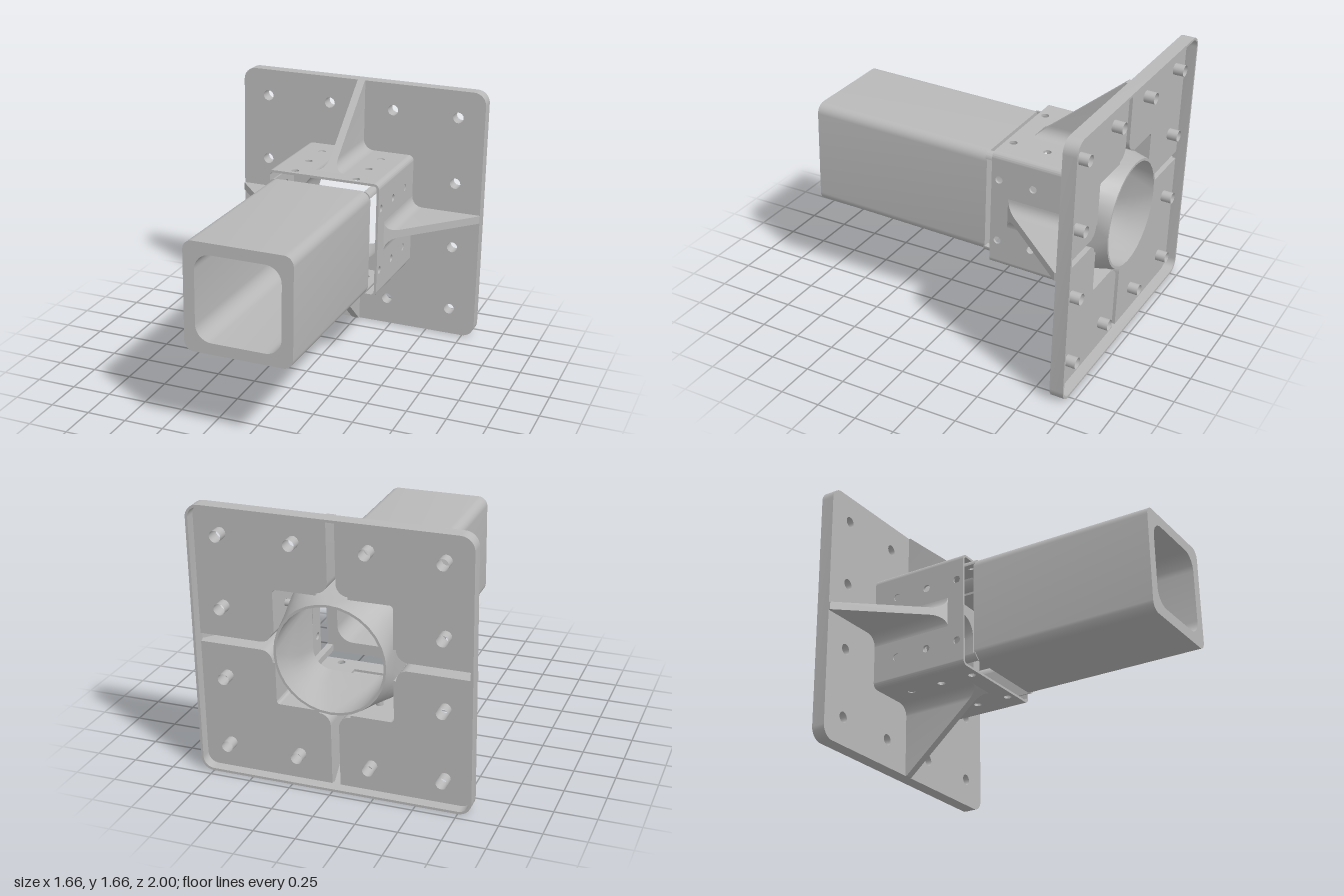
import * as THREE from 'three';
import { toCreasedNormals } from 'three/addons/utils/BufferGeometryUtils.js';

const TAU4 = Math.PI / 2;
const V2 = (x, y) => new THREE.Vector2(x, y);

// Rounded square outline, counter-clockwise
function roundedSquare(half, radius, steps = 8) {
  const points = [];
  for (let c = 0; c < 4; c++) {
    const start = c * TAU4;
    const mid = start + TAU4 / 2;
    const off = (half - radius) * Math.SQRT2;
    for (let i = 0; i <= steps; i++) {
      const a = start + (i / steps) * TAU4;
      points.push(V2(
        Math.cos(mid) * off + Math.cos(a) * radius,
        Math.sin(mid) * off + Math.sin(a) * radius));
    }
  }
  return points;
}

// Quads, each as four corner triples, to creased geometry
function fromQuads(quads) {
  const pos = [];
  for (const [a, b, c, d] of quads) pos.push(...a, ...b, ...c, ...a, ...c, ...d);
  const g = new THREE.BufferGeometry();
  g.setAttribute('position', new THREE.Float32BufferAttribute(pos, 3));
  g.computeVertexNormals();
  return toCreasedNormals(g, 0.6);
}

// Closed loft through rounded square sections [z, half, radius]
function loft(sections) {
  const rings = sections.map(([z, h, r]) => roundedSquare(h, r).map(p => [p.x, p.y, z]));
  const quads = [];
  rings.forEach((ring, k) => {
    const next = rings[(k + 1) % rings.length];
    ring.forEach((p, i) => {
      const j = (i + 1) % ring.length;
      quads.push([p, next[i], next[j], ring[j]]);
    });
  });
  return fromQuads(quads);
}

function circleHole(x, y, r) {
  return new THREE.Path().absarc(x, y, r, 0, Math.PI * 2, true);
}

function extrude(shape, depth, z = 0) {
  const g = new THREE.ExtrudeGeometry(shape, { depth, bevelEnabled: false, curveSegments: 8 });
  return toCreasedNormals(g.translate(0, 0, z), 0.6);
}

export function createModel() {
  const steel = new THREE.MeshStandardMaterial({ color: 0xb8b8b8, side: THREE.DoubleSide });
  steel.name = 'grey steel';

  const model = new THREE.Group();
  model.name = 'tubeMount';
  const add = (parent, name, geometry) => {
    const mesh = new THREE.Mesh(geometry, steel);
    mesh.name = name;
    parent.add(mesh);
    return mesh;
  };

  // Half outline of a rib, from the plate edge to the flared root
  const ribLine = [V2(0.025, 0.83)];
  for (let i = 0; i <= 8; i++) {
    const a = Math.PI + (i / 8) * TAU4;
    ribLine.push(V2(0.095 + 0.07 * Math.cos(a), 0.44 + 0.07 * Math.sin(a)));
  }
  const ribTop = y => 0.095 + (0.83 - y) * 1.155;

  // Back plate: thin front sheet with a cross-shaped opening
  const half = [V2(0.355, 0.355), V2(0.095, 0.355), ...ribLine.slice(1).reverse(), V2(0.025, 0.815)];
  const mirrored = half.slice(1).reverse().map(p => V2(-p.x, p.y));
  const opening = [];
  for (let k = 0; k < 4; k++) {
    for (const p of [...half, ...mirrored]) opening.push(p.clone().rotateAround(V2(0, 0), k * TAU4));
  }
  const sheet = new THREE.Shape(roundedSquare(0.816, 0.066));
  sheet.holes.push(new THREE.Path(opening));

  // Bolt holes with tubular bosses behind the sheet
  const grid = [-0.655, -0.2185, 0.2185, 0.655];
  for (const x of grid) for (const y of grid) {
    if (Math.abs(x) < 0.5 && Math.abs(y) < 0.5) continue;
    sheet.holes.push(circleHole(x, y, 0.035));
    const boss = new THREE.CylinderGeometry(0.035, 0.035, 0.085, 16, 1, true);
    add(model, 'boltBoss', boss.rotateX(TAU4).translate(x, y, 0.0425));
  }
  add(model, 'plateSheet', extrude(sheet, 0.02, 0.065));

  const rim = new THREE.Shape(roundedSquare(0.83, 0.08));
  rim.holes.push(new THREE.Path(roundedSquare(0.815, 0.065)));
  add(model, 'plateRim', extrude(rim, 0.085));

  // Sleeve wall, notched behind the hollow rib and drilled for pins
  const wall = new THREE.Shape([
    V2(0.095, 0.065), V2(0.335, 0.065), V2(0.335, 0.738), V2(-0.335, 0.738),
    V2(-0.335, 0.065), V2(-0.095, 0.065), V2(-0.095, 0.626), V2(0.095, 0.626)]);
  for (const x of [-0.203, 0.203]) for (const z of [0.25, 0.47, 0.69]) {
    wall.holes.push(circleHole(x, z, 0.024));
  }
  const wallGeometry = extrude(wall, 0.015).rotateX(TAU4).translate(0, 0.37, 0);

  // Rounded sleeve corner
  const corner = new THREE.Shape();
  corner.absarc(0.335, 0.335, 0.035, 0, TAU4, false);
  corner.absarc(0.335, 0.335, 0.02, TAU4, 0, true);
  const cornerGeometry = extrude(corner, 0.673, 0.065);

  // Hollow rib: two side walls and a sloping cover
  const ribQuads = [];
  for (let i = 0; i < ribLine.length - 1; i++) {
    const p = ribLine[i], q = ribLine[i + 1];
    const tp = ribTop(p.y), tq = ribTop(q.y);
    ribQuads.push(
      [[p.x, p.y, 0.07], [p.x, p.y, tp], [q.x, q.y, tq], [q.x, q.y, 0.07]],
      [[-q.x, q.y, 0.07], [-q.x, q.y, tq], [-p.x, p.y, tp], [-p.x, p.y, 0.07]],
      [[p.x, p.y, tp], [-p.x, p.y, tp], [-q.x, q.y, tq], [q.x, q.y, tq]]);
  }
  // Small outer end of the rib
  const e = ribTop(0.83);
  ribQuads.push([[0.025, 0.83, 0.07], [-0.025, 0.83, 0.07], [-0.025, 0.83, e], [0.025, 0.83, e]]);
  const ribGeometry = fromQuads(ribQuads);

  // Corner post joining the front tube to the rear collar
  const post = new THREE.Shape();
  post.moveTo(0.295, 0.295);
  post.lineTo(0.335, 0.295);
  post.absarc(0.295, 0.295, 0.04, 0, TAU4, false);
  const postGeometry = extrude(post, 0.45, 0.35);

  // Everything repeated on the four sides
  for (let k = 0; k < 4; k++) {
    const side = new THREE.Group();
    side.name = 'sleeveSide';
    side.rotation.z = k * TAU4;
    add(side, 'sleeveWall', wallGeometry);
    add(side, 'sleeveCorner', cornerGeometry);
    add(side, 'rib', ribGeometry);
    add(side, 'tubePost', postGeometry);
    for (const x of [-0.203, 0.203]) {
      const pin = new THREE.CylinderGeometry(0.022, 0.022, 0.075, 16);
      add(side, 'pin', pin.translate(x, 0.328, 0.25));
    }
    model.add(side);
  }

  // Square front tube
  add(model, 'frontTube', loft([
    [1.969, 0.335, 0.06], [0.79, 0.335, 0.06], [0.79, 0.265, 0.1], [1.969, 0.265, 0.1]]));

  // Rear collar, changing from square to round
  add(model, 'rearCollar', loft([
    [0.4, 0.335, 0.06], [0.25, 0.335, 0.16], [0.12, 0.335, 0.26], [0.005, 0.335, 0.333],
    [0.005, 0.32, 0.318], [0.12, 0.3, 0.24], [0.25, 0.275, 0.16], [0.4, 0.262, 0.12]]));

  // Slight upward tilt of the whole mount
  model.rotation.x = -0.027;
  model.position.set(0, 0.83, -0.978);
  const root = new THREE.Group();
  root.name = 'mount';
  root.add(model);
  return root;
}
